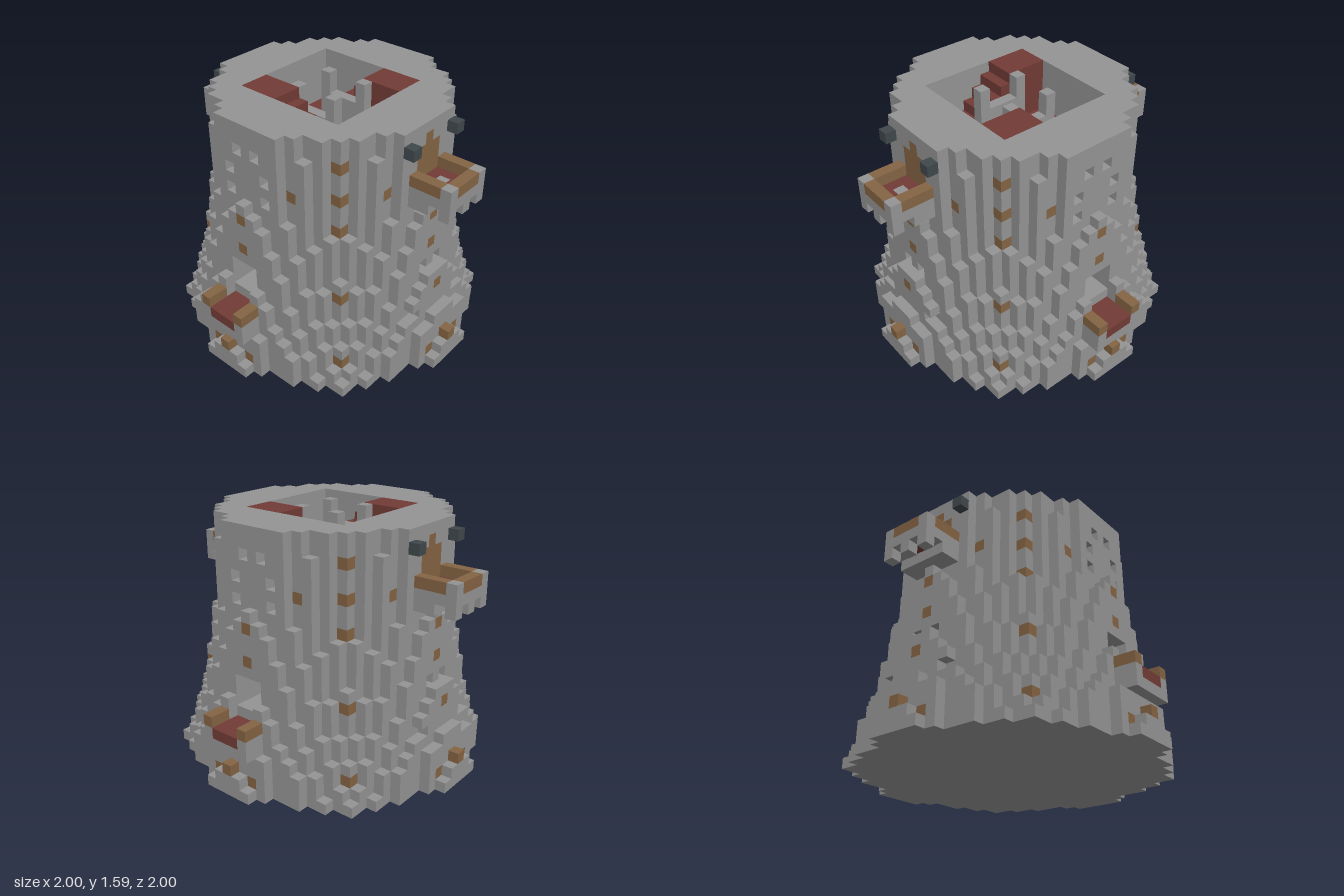
import * as THREE from 'three';

const U = 2 / 29; // block size
const paint = (name, color) => Object.assign(new THREE.MeshStandardMaterial({ color }), { name });
const stone = paint('stone', 0x949494);
const wood = paint('wood', 0x846443);
const carpet = paint('redCarpet', 0x723b35);
const iron = paint('darkIron', 0x40484c);

const materials = {
  towerWall: stone, balconyStone: stone, stairRail: stone, floorInlay: stone,
  woodInlay: wood, balconyRail: wood, door: wood, table: wood,
  balconyFloor: carpet, roomFloor: carpet, stairs: carpet, lantern: iron,
};

// Half extent of the footprint for each row away from the centre
const footprint = [14, 14, 14, 13, 12, 12, 12, 11, 11, 10, 10, 8, 6, 3, 2];
// Flare of the tower: [radius, height in blocks]
const flare = [[0, 23], [10.62, 23], [11, 16], [11.25, 14.2], [12, 9.9], [13, 5.2], [14, 3.2], [14.2, 2], [15, 1]];

function columnHeight(x, z) {
  const ax = Math.abs(x), az = Math.abs(z);
  if (ax > footprint[az]) return 0;
  if (Math.max(ax, az) === 14 && Math.min(ax, az) === 2) return 1; // notches at the foot
  const s = Math.sin(2 * Math.atan2(z, x));
  const r = Math.hypot(x, z) * (1 + 0.055 * s * s);
  for (let i = 1; i < flare.length; i++) {
    const [r0, h0] = flare[i - 1], [r1, h1] = flare[i];
    if (r <= r1) return Math.floor(h0 + (h1 - h0) * (r - r0) / (r1 - r0));
  }
  return 1;
}

// Cube faces: outward normal and two edge directions with u x v = normal
const faces = [
  [[1, 0, 0], [0, 1, 0], [0, 0, 1]], [[-1, 0, 0], [0, 0, 1], [0, 1, 0]],
  [[0, 1, 0], [0, 0, 1], [1, 0, 0]], [[0, -1, 0], [1, 0, 0], [0, 0, 1]],
  [[0, 0, 1], [1, 0, 0], [0, 1, 0]], [[0, 0, -1], [0, 1, 0], [1, 0, 0]],
];

export function createModel() {
  const cells = new Map();
  const key = (x, y, z) => `${x},${y},${z}`;
  // Fill a range of blocks with a part, or clear it with null
  const fill = (part, x0, x1, y0, y1, z0, z1) => {
    for (let x = Math.min(x0, x1); x <= Math.max(x0, x1); x++)
      for (let y = y0; y <= y1; y++)
        for (let z = Math.min(z0, z1); z <= Math.max(z0, z1); z++)
          if (part) cells.set(key(x, y, z), part);
          else cells.delete(key(x, y, z));
  };

  // Flared wall
  for (let x = -14; x <= 14; x++)
    for (let z = -14; z <= 14; z++) {
      const h = columnHeight(x, z);
      if (h) fill('towerWall', x, x, 0, h - 1, z, z);
    }

  // Wooden inlays set into the outermost block on every side: [offset, layer]
  const dots = [[7, 20], [7, 17], [4, 17], [7, 14], [0, 14], [0, 11], [8, 8], [0, 7], [9, 2], [0, 2], [2, 1]];
  for (const [a, y] of dots)
    for (const m of [-1, 1])
      for (const s of [-1, 1]) {
        let d = 14;
        while (d > 0 && columnHeight(a, d) <= y) d--;
        fill('woodInlay', a * m, a * m, y, y, d * s, d * s);
        fill('woodInlay', d * s, d * s, y, y, a * m, a * m);
      }

  // Lower room, passage, and open upper room
  fill(null, -5, 5, 6, 15, -5, 5);
  fill('roomFloor', -5, 5, 5, 5, -5, 5);
  fill(null, -12, 12, 7, 9, -1, 1);
  fill('table', 0, 0, 6, 7, 0, 0);
  fill(null, -5, 5, 18, 22, -5, 5);
  fill('roomFloor', -5, 5, 17, 17, -5, 5);
  fill('floorInlay', 0, 0, 17, 17, 0, 0);

  for (const s of [-1, 1]) {
    // Stairs climbing to a corner landing, with a railing beside them
    for (let i = 0; i < 5; i++) fill('stairs', 3 * s, 5 * s, 18, 18 + i, (i - 2) * s, (i - 2) * s);
    fill('stairs', 3 * s, 5 * s, 18, 22, 3 * s, 5 * s);
    fill('stairRail', 2 * s, 2 * s, 18, 20, -1, 1);
    for (const e of [-2, 2]) fill('stairRail', 2 * s, 2 * s, 18, 22, e, e);
    fill('floorInlay', 0, 0, 17, 17, 4 * s, 4 * s);

    // High balcony on stone teeth, door and lanterns
    fill('balconyStone', -2, 2, 16, 16, 11 * s, 12 * s);
    for (const x of [-2, 0, 2]) fill('balconyStone', x, x, 16, 16, 14 * s, 14 * s);
    fill('balconyStone', -2, 2, 17, 17, 11 * s, 14 * s);
    fill('balconyFloor', -1, 1, 17, 17, 11 * s, 13 * s);
    fill('floorInlay', 0, 0, 17, 17, 12 * s, 12 * s);
    fill('balconyRail', -1, 1, 18, 18, 14 * s, 14 * s);
    fill('door', -1, 1, 18, 20, 10 * s, 10 * s);
    fill('door', 0, 0, 21, 21, 10 * s, 10 * s);
    for (const m of [-1, 1]) {
      fill('balconyRail', 2 * m, 2 * m, 18, 18, 11 * s, 13 * s);
      fill('balconyStone', 2 * m, 2 * m, 18, 18, 14 * s, 14 * s);
      fill('lantern', 3 * m, 3 * m, 21, 21, 11 * s, 11 * s);
    }

    // Low side balcony
    fill(null, 12 * s, 12 * s, 6, 9, -1, 1);
    fill('balconyStone', 12 * s, 14 * s, 4, 5, -2, 2);
    fill('balconyFloor', 12 * s, 14 * s, 5, 5, -1, 1);
    for (const m of [-1, 1]) {
      fill('balconyStone', 12 * s, 12 * s, 6, 6, 2 * m, 2 * m);
      fill('balconyRail', 13 * s, 14 * s, 6, 6, 2 * m, 2 * m);
      // Small recessed windows in the sides, front and back
      for (const [a, y] of [[1, 20], [2, 18], [2, 16]]) fill(null, 10 * s, 10 * s, y, y, a * m, a * m);
      for (const [a, y, d] of [[1, 9, 11], [3, 5, 12]]) fill(null, a * m, a * m, y, y, d * s, d * s);
    }
  }

  // Turn exposed block faces into one mesh per part
  const parts = {};
  for (const [k, part] of cells) {
    const c = k.split(',').map(Number);
    const p = (parts[part] ??= { position: [], normal: [], index: [] });
    for (const [n, u, v] of faces) {
      if (cells.has(key(c[0] + n[0], c[1] + n[1], c[2] + n[2]))) continue;
      const base = p.position.length / 3;
      for (const [a, b] of [[-1, -1], [1, -1], [1, 1], [-1, 1]]) {
        for (let i = 0; i < 3; i++) {
          const mid = c[i] + (i === 1 ? 0.5 : 0);
          p.position.push((mid + (n[i] + a * u[i] + b * v[i]) / 2) * U);
        }
        p.normal.push(...n);
      }
      p.index.push(base, base + 1, base + 2, base, base + 2, base + 3);
    }
  }

  const group = new THREE.Group();
  group.name = 'tower';
  for (const [name, p] of Object.entries(parts)) {
    const geometry = new THREE.BufferGeometry();
    geometry.setAttribute('position', new THREE.Float32BufferAttribute(p.position, 3));
    geometry.setAttribute('normal', new THREE.Float32BufferAttribute(p.normal, 3));
    geometry.setIndex(p.index);
    const mesh = new THREE.Mesh(geometry, materials[name]);
    mesh.name = name;
    group.add(mesh);
  }
  return group;
}
